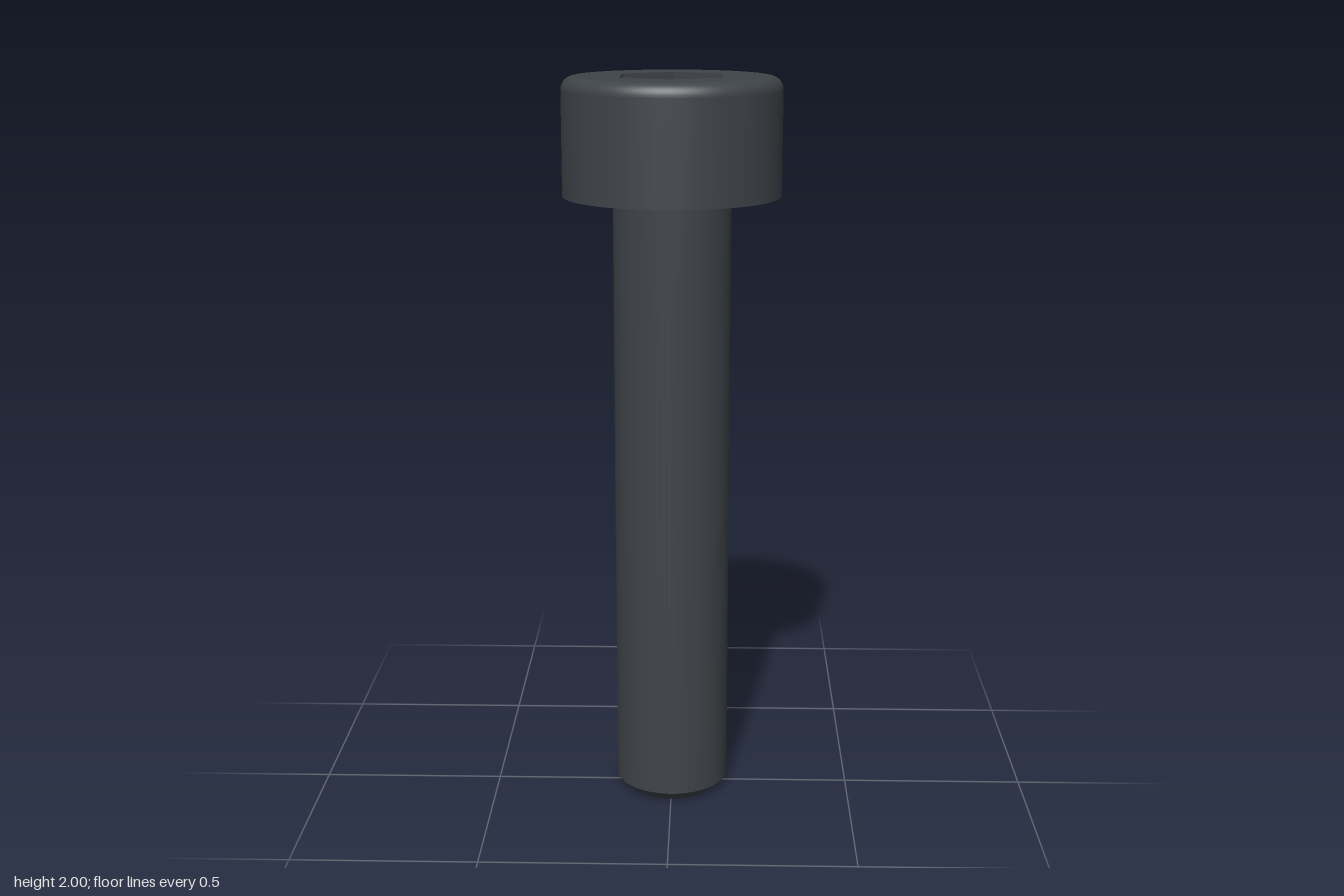
import * as THREE from 'three';

const SEG = 64;
const HEAD_R = 0.29, HEAD_BASE = 1.69, TOP = 2, FILLET = 0.035;
const SHANK_R = 0.157, CHAMFER = 0.03;
const HEX_R = 0.153, HEX_DEPTH = 0.155;

export function createModel() {
  const group = new THREE.Group();
  const steel = new THREE.MeshStandardMaterial({ color: 0x3f4449 });
  steel.name = 'dark steel';

  const add = (parent, name, geometry) => {
    const mesh = new THREE.Mesh(geometry, steel);
    mesh.name = name;
    parent.add(mesh);
  };
  // Each strip is a separate lathe, so the edges between strips stay sharp
  const lathe = (points, segments = SEG) =>
    new THREE.LatheGeometry(points.map(([r, y]) => new THREE.Vector2(r, y)), segments);
  const ring = (radius, count) => Array.from({ length: count }, (_, i) => {
    const a = Math.PI / 2 + (i / count) * Math.PI * 2;
    return new THREE.Vector2(Math.cos(a) * radius, Math.sin(a) * radius);
  });

  // Shank with chamfered tip
  const shank = new THREE.Group();
  shank.name = 'shank';
  const tipR = SHANK_R - CHAMFER;
  add(shank, 'tipFace', lathe([[0, 0], [tipR, 0]]));
  add(shank, 'tipChamfer', lathe([[tipR, 0], [SHANK_R, CHAMFER]]));
  add(shank, 'shankSide', lathe([[SHANK_R, CHAMFER], [SHANK_R, HEAD_BASE]]));

  // Cylindrical head with rounded top edge
  const head = new THREE.Group();
  head.name = 'head';
  const topR = HEAD_R - FILLET, filletY = TOP - FILLET;
  add(head, 'headUnderside', lathe([[SHANK_R, HEAD_BASE], [HEAD_R, HEAD_BASE]]));
  add(head, 'headSide', lathe([[HEAD_R, HEAD_BASE], [HEAD_R, filletY]]));
  const arc = [];
  for (let i = 0; i <= 10; i++) {
    const a = (i / 10) * Math.PI / 2;
    arc.push([topR + FILLET * Math.cos(a), filletY + FILLET * Math.sin(a)]);
  }
  add(head, 'headFillet', lathe(arc));

  // Top face with hexagonal opening
  const face = new THREE.Shape(ring(topR, SEG));
  face.holes.push(new THREE.Path(ring(HEX_R, 6).reverse()));
  add(head, 'headTop', new THREE.ShapeGeometry(face).rotateX(-Math.PI / 2).translate(0, TOP, 0));

  // Hex socket: six-sided recess facing inward, with a flat floor
  const socket = lathe([[HEX_R, TOP], [HEX_R, TOP - HEX_DEPTH], [0, TOP - HEX_DEPTH]], 6).toNonIndexed();
  socket.computeVertexNormals();
  add(head, 'hexSocket', socket);

  group.add(shank, head);
  return group;
}
